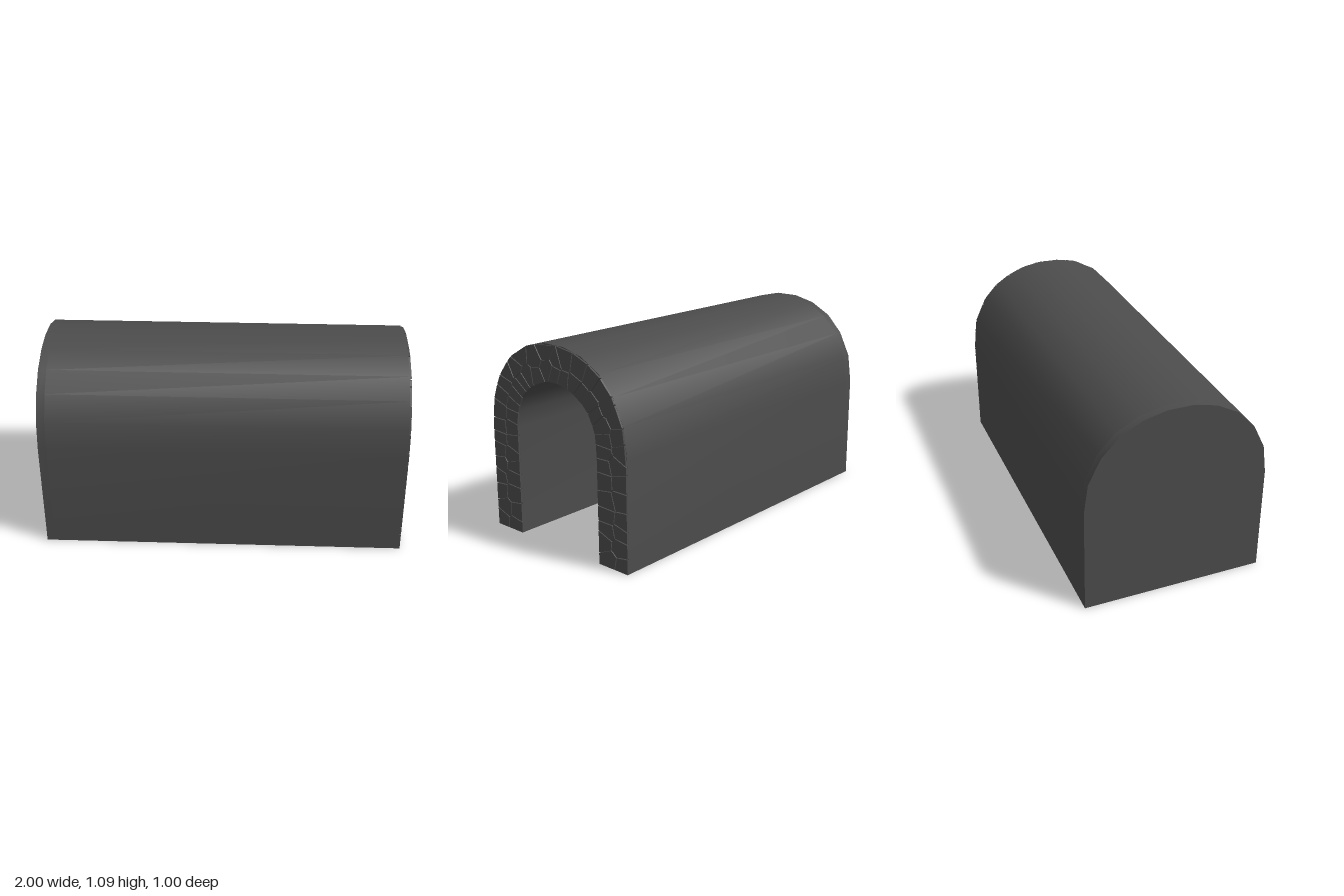
import * as THREE from 'three';
import { mergeGeometries, toCreasedNormals } from 'three/addons/utils/BufferGeometryUtils.js';

// Half profiles of the arch (across, up), mirrored to full paths
const mirror = (half) => [...half, ...half.slice().reverse().map(([z, y]) => [-z, y])];
const outer = mirror([[0.5, 0], [0.5, 0.6], [0.478, 0.76], [0.412, 0.895], [0.319, 0.994], [0.197, 1.06], [0.07, 1.09]]);
const inner = mirror([[0.3, 0], [0.3, 0.6], [0.29, 0.695], [0.25, 0.78], [0.19, 0.838], [0.12, 0.876], [0.046, 0.896]]);

const toShape = (pts) => new THREE.Shape(pts.map(([a, b]) => new THREE.Vector2(a, b)));

// Extrude a cross-section along x, from x0 to x1
function extrudeX(shape, x0, x1) {
  const g = new THREE.ExtrudeGeometry(shape, { depth: x1 - x0, bevelEnabled: false });
  return g.translate(0, 0, x0).rotateY(Math.PI / 2);
}

// Distance along the middle of the arch at each profile point
const along = [0];
for (let i = 1; i < outer.length; i++) {
  const mid = (k) => [(outer[k][0] + inner[k][0]) / 2, (outer[k][1] + inner[k][1]) / 2];
  const a = mid(i - 1), b = mid(i);
  along.push(along[i - 1] + Math.hypot(b[0] - a[0], b[1] - a[1]));
}
const archLength = along[along.length - 1];
const WIDTH = 0.2;

// Bend a flat strip position (s along, t across) around the arch
function bend([s, t]) {
  let i = 1;
  while (i < along.length - 1 && s > along[i]) i++;
  const f = (s - along[i - 1]) / (along[i] - along[i - 1]);
  const at = (p, k) => p[i - 1][k] + (p[i][k] - p[i - 1][k]) * f;
  const w = t / WIDTH;
  return [0, 1].map((k) => at(outer, k) + (at(inner, k) - at(outer, k)) * w);
}

// Keep the part of a polygon where n . p <= d
function clip(poly, n, d) {
  const out = [];
  poly.forEach((p, i) => {
    const q = poly[(i + 1) % poly.length];
    const a = n[0] * p[0] + n[1] * p[1] - d, b = n[0] * q[0] + n[1] * q[1] - d;
    if (a <= 0) out.push(p);
    if (a * b < 0) out.push([p[0] + (q[0] - p[0]) * a / (a - b), p[1] + (q[1] - p[1]) * a / (a - b)]);
  });
  return out;
}

// Irregular stones: cells around jittered seeds laid out in courses
function stoneGeometry() {
  let seed = 17;
  const rand = () => (seed = (seed * 16807) % 2147483647) / 2147483647;
  const seeds = [];
  for (let s = 0.035; s < archLength; s += 0.06 + rand() * 0.035) {
    const split = 0.07 + rand() * 0.06;
    seeds.push([s + (rand() - 0.5) * 0.03, split / 2 + (rand() - 0.5) * 0.03]);
    seeds.push([s + (rand() - 0.5) * 0.03, (split + WIDTH) / 2 + (rand() - 0.5) * 0.03]);
  }
  const gap = 0.0025;
  const stones = [];
  for (const a of seeds) {
    let cell = [[0, 0], [archLength, 0], [archLength, WIDTH], [0, WIDTH]];
    for (const b of seeds) {
      if (a === b) continue;
      const d = [b[0] - a[0], b[1] - a[1]], len = Math.hypot(d[0], d[1]);
      const n = [d[0] / len, d[1] / len];
      cell = clip(cell, n, n[0] * (a[0] + b[0]) / 2 + n[1] * (a[1] + b[1]) / 2 - gap);
    }
    if (cell.length > 2) stones.push(extrudeX(toShape(cell.map(bend)), 0.99, 1));
  }
  return mergeGeometries(stones);
}

export function createModel() {
  const group = new THREE.Group();
  const stone = new THREE.MeshStandardMaterial({ name: 'stone grey', color: 0x4c4c4c });
  const dark = new THREE.MeshStandardMaterial({ name: 'tunnel black', color: 0x0e0e0e });
  const add = (name, geometry, material) => {
    const mesh = new THREE.Mesh(geometry, material);
    mesh.name = name;
    group.add(mesh);
  };

  // Long vault, closed at the far end
  add('vault', toCreasedNormals(extrudeX(toShape([...outer, ...inner.slice().reverse()]), -0.955, 0.99), 0.6), stone);
  add('endWall', toCreasedNormals(extrudeX(toShape(outer), -1, -0.955), 0.6), stone);

  // Black face at the end of the passage
  const back = new THREE.ShapeGeometry(toShape(inner)).translate(0, 0, -0.953).rotateY(Math.PI / 2);
  add('passageEnd', back, dark);

  // Stonework around the mouth
  add('mouthStones', stoneGeometry(), stone);
  return group;
}
